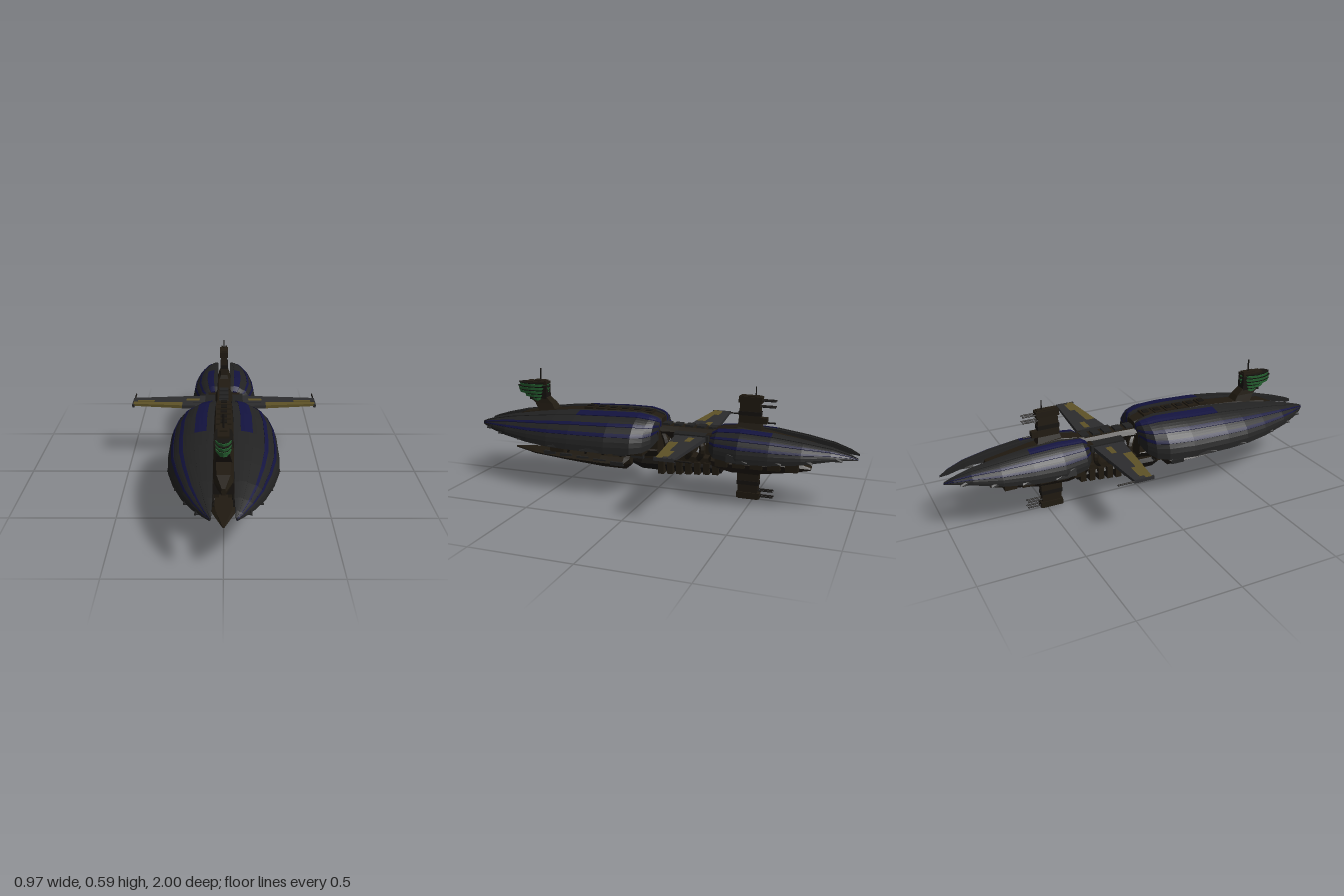
import * as THREE from 'three';

const C = { hull: 0x222222, navy: 0x13133f, brown: 0x201a11, dark: 0x161310, gold: 0x5e5227, green: 0x2a6a36, wing: 0x2c2c2e };
const mats = {};
for (const k in C) mats[k] = new THREE.MeshStandardMaterial({ color: C[k], flatShading: true });

export function createModel() {
  const ship = new THREE.Group();
  ship.name = 'starship';

  const add = (name, mat, geo) => {
    const m = new THREE.Mesh(geo, mats[mat]);
    m.name = name;
    ship.add(m);
    return m;
  };
  const box = (name, mat, x, y, z, w, h, d) => {
    const m = add(name, mat, new THREE.BoxGeometry(w, h, d));
    m.position.set(x, y, z);
  };
  const rod = (name, mat, a, b, r, sides = 8) => {
    const path = new THREE.LineCurve3(new THREE.Vector3(...a), new THREE.Vector3(...b));
    const m = add(name, mat, new THREE.CylinderGeometry(r, r, path.getLength(), sides));
    m.position.copy(path.getPoint(0.5));
    m.quaternion.setFromUnitVectors(new THREE.Vector3(0, 1, 0), path.getTangent(0));
  };
  const disc = (name, mat, y, z, w, h, d) => {
    const m = add(name, mat, new THREE.CylinderGeometry(0.5, 0.46, 1, 12));
    m.position.set(0, y, z);
    m.scale.set(w, h, d);
  };

  // Skin a row of closed cross-sections and cap both ends, facing outwards
  const loft = (name, mat, rings) => {
    const n = rings[0].length, last = (rings.length - 1) * n, idx = [];
    for (let i = 0; i < rings.length - 1; i++)
      for (let j = 0; j < n; j++) {
        const a = i * n + j, b = i * n + (j + 1) % n;
        idx.push(a, b, a + n, b, b + n, a + n);
      }
    for (let j = 1; j < n - 1; j++) idx.push(0, j + 1, j, last, last + j, last + j + 1);
    const p = rings.flat().map(v => new THREE.Vector3(...v));
    let volume = 0;
    for (let i = 0; i < idx.length; i += 3)
      volume += p[idx[i]].dot(p[idx[i + 1]].clone().cross(p[idx[i + 2]]));
    if (volume < 0) idx.reverse();
    const g = new THREE.BufferGeometry().setFromPoints(p);
    g.setIndex(idx);
    g.computeVertexNormals();
    add(name, mat, g);
  };

  // Symmetric body along z; station: z, half width, bottom, top, keel and roof width factors
  const body = (name, mat, stations) => loft(name, mat, stations.map(([z, w, y0, y1, k = 0.6, r = 0.7]) => {
    const ym = y0 + (y1 - y0) * 0.55;
    return [[w * k, y0, z], [w, ym, z], [w * r, y1, z], [-w * r, y1, z], [-w, ym, z], [-w * k, y0, z]];
  }));

  // Curved armour shell of lengthwise bands; station: z, inner x, outer x, top, edge.
  // The wide inner stripe stops at station mid, the thin ones run to the tip.
  const shell = (name, stations, mid, side) => {
    const cuts = [0, 0.1, 0.27, 0.46, 0.53, 0.67, 0.74, 1];
    const point = ([z, xi, xo, yt, ye], t, thick) => {
      const a = t * Math.PI / 2, w = Math.max(0.003, xo - xi - thick * 0.6 * t);
      return [side * (xi + w * Math.sin(a)), ye + Math.max(0.002, yt - ye - thick) * Math.pow(Math.cos(a), 0.85), z];
    };
    for (let b = 0; b < cuts.length - 1; b++) {
      const ts = [0, 1 / 3, 2 / 3, 1].map(u => cuts[b] + (cuts[b + 1] - cuts[b]) * u);
      const lift = b % 2 ? 0 : 0.004;
      const band = (mat, part) => loft(name, mat, part.map(s => [
        ...ts.map(t => point(s, t, lift)),
        ...ts.slice().reverse().map(t => point(s, t, 0.03))]));
      band(b % 2 ? 'navy' : 'hull', stations.slice(0, mid + 1));
      band(b === 3 || b === 5 ? 'navy' : 'hull', stations.slice(mid));
    }
  };

  const bow = [[-0.03, 0.035, 0.1, 0.375, 0.28], [-0.015, 0.04, 0.165, 0.392, 0.255], [0.015, 0.04, 0.208, 0.402, 0.24],
    [0.07, 0.04, 0.242, 0.412, 0.236], [0.2, 0.045, 0.262, 0.41, 0.235], [0.4, 0.045, 0.262, 0.4, 0.236],
    [0.52, 0.045, 0.253, 0.388, 0.238], [0.65, 0.045, 0.224, 0.37, 0.242], [0.8, 0.045, 0.178, 0.345, 0.254],
    [0.9, 0.045, 0.13, 0.32, 0.262], [0.97, 0.048, 0.085, 0.298, 0.268], [1, 0.05, 0.058, 0.285, 0.268]];
  const stern = [[-0.3, 0.035, 0.12, 0.34, 0.26], [-0.33, 0.035, 0.15, 0.36, 0.235], [-0.45, 0.035, 0.177, 0.37, 0.225],
    [-0.6, 0.035, 0.172, 0.362, 0.23], [-0.75, 0.035, 0.15, 0.342, 0.243], [-0.88, 0.035, 0.11, 0.318, 0.262],
    [-0.96, 0.035, 0.072, 0.292, 0.266], [-1, 0.035, 0.045, 0.272, 0.262]];

  for (const s of [1, -1]) {
    shell('bowShell', bow, 5, s);
    shell('sternShell', stern, 3, s);

    // Swept teeth along the shell rims
    for (const [z, x, y] of [[0.3, 0.257, 0.245], [0.48, 0.25, 0.248], [0.68, 0.206, 0.255], [0.82, 0.16, 0.262], [0.92, 0.11, 0.27],
      [-0.48, 0.17, 0.24], [-0.64, 0.16, 0.245], [-0.78, 0.135, 0.256], [-0.91, 0.092, 0.27]]) {
      const d = Math.sign(z);
      loft('rimTooth', 'hull', [
        [[s * (x - 0.02), y - 0.01, z - d * 0.08], [s * (x + 0.004), y - 0.01, z - d * 0.08], [s * (x - 0.005), y + 0.03, z - d * 0.08]],
        [[s * (x - 0.02), y - 0.005, z + d * 0.025], [s * (x + 0.007), y - 0.008, z + d * 0.025], [s * x, y, z + d * 0.025]]]);
    }

    // Machinery pods beneath the bow
    for (let i = 0; i < 6; i++) {
      box('bellyPod', 'brown', s * 0.14, 0.234, 0.06 + i * 0.1, 0.08 - i * 0.004, 0.036, 0.075);
      box('bellyVent', 'dark', s * 0.172, 0.24, 0.06 + i * 0.09, 0.02, 0.03, 0.03);
    }

    // Wing: chord strips from trailing to leading edge, with gold panels and tip cannon
    const strip = (name, mat, x0, x1, u0, u1, h) => loft(name, mat, [x0, x1].map(x => {
      const f = (x - 0.03) / 0.45, zb = -0.285 + 0.035 * f, zf = -0.115 - 0.045 * f;
      const y = 0.31 + 0.002 * f, t = h * (1 - 0.4 * f);
      const za = zb + (zf - zb) * u0, zc = zb + (zf - zb) * u1;
      return [[s * x, y - t, za], [s * x, y + t, za], [s * x, y + t, zc], [s * x, y - t, zc]];
    }));
    strip('wing', 'wing', 0.03, 0.48, 0, 0.65, 0.011);
    strip('wingLeadingEdge', 'wing', 0.03, 0.22, 0.65, 1, 0.01);
    strip('wingGoldEdge', 'gold', 0.22, 0.48, 0.65, 1, 0.01);
    strip('wingGoldPanel', 'gold', 0.37, 0.46, 0.42, 0.66, 0.0125);
    strip('wingGoldPanel', 'gold', 0.13, 0.2, 0.3, 0.5, 0.0125);
    strip('wingRoot', 'hull', 0.03, 0.1, -0.08, 1.05, 0.018);
    box('wingTip', 'wing', s * 0.479, 0.31, -0.2, 0.012, 0.016, 0.1);
    rod('wingCannon', 'dark', [s * 0.481, 0.31, -0.15], [s * 0.481, 0.31, -0.33], 0.004);

    // Curved ribs of the open waist
    for (let i = 0; i < 5; i++) {
      const z = -0.04 - i * 0.062;
      const path = new THREE.QuadraticBezierCurve3(new THREE.Vector3(s * 0.035, 0.3, z),
        new THREE.Vector3(s * 0.075, 0.245, z - 0.05), new THREE.Vector3(s * 0.035, 0.19, z));
      add('waistRib', 'brown', new THREE.TubeGeometry(path, 8, 0.016, 6));
    }

    // Twin bow guns and keel side fins
    for (const y of [0.185, 0.205]) rod('bowGun', 'dark', [s * 0.045, y, 0.5], [s * 0.045, y, 0.725], 0.005);
    box('gunMount', 'brown', s * 0.045, 0.195, 0.55, 0.05, 0.08, 0.08);
    for (let i = 0; i < 5; i++) {
      const z = 0.2 + i * 0.1;
      rod('keelStrut', 'dark', [s * 0.04, 0.14, z], [s * 0.06, 0.2, z - 0.02], 0.007, 6);
      box('keelPlate', 'hull', s * (0.08 - i * 0.007), 0.13 + i * 0.003, z, 0.016, 0.02, 0.07);
      box('lowerHullPod', 'hull', s * (0.095 - i * 0.004), 0.195, z - 0.12, 0.02, 0.03, 0.07);
    }
    // Stern side machinery
    for (let i = 0; i < 5; i++) box('sternPod', 'brown', s * (0.09 - i * 0.006), 0.205, -0.36 - i * 0.085, 0.04, 0.045, 0.06);
  }

  // Inner hull bodies, lower bow hull and dorsal ridge
  body('bowInnerHull', 'dark', [[-0.01, 0.13, 0.23, 0.33], [0.1, 0.21, 0.228, 0.35], [0.4, 0.21, 0.23, 0.35], [0.6, 0.16, 0.24, 0.33], [0.76, 0.07, 0.26, 0.31]]);
  body('bowLowerHull', 'brown', [[-0.02, 0.08, 0.185, 0.25], [0.15, 0.1, 0.172, 0.25], [0.45, 0.09, 0.172, 0.25], [0.56, 0.07, 0.19, 0.25], [0.64, 0.04, 0.225, 0.26]]);
  body('bowDorsalRidge', 'brown', [[-0.03, 0.045, 0.3, 0.38], [0.05, 0.055, 0.3, 0.403], [0.35, 0.055, 0.3, 0.398], [0.6, 0.05, 0.29, 0.376], [0.76, 0.042, 0.28, 0.35], [0.83, 0.01, 0.29, 0.32]]);
  for (let i = 0; i < 6; i++) {
    box('dorsalBlock', 'brown', 0, 0.394, 0.05 + i * 0.065, 0.07, 0.026, 0.048);
    box('dorsalHatch', 'dark', 0, 0.4, 0.05 + i * 0.065, 0.03, 0.024, 0.03);
  }
  body('sternInnerHull', 'dark', [[-0.3, 0.09, 0.21, 0.32], [-0.4, 0.13, 0.2, 0.32], [-0.6, 0.12, 0.21, 0.31], [-0.78, 0.03, 0.24, 0.29]]);
  body('sternRidge', 'brown', [[-0.3, 0.045, 0.3, 0.35], [-0.42, 0.045, 0.28, 0.37], [-0.56, 0.04, 0.28, 0.355], [-0.79, 0.03, 0.27, 0.315]]);
  body('sternBelly', 'brown', [[-0.3, 0.08, 0.16, 0.23], [-0.4, 0.1, 0.145, 0.24], [-0.55, 0.09, 0.15, 0.24], [-0.68, 0.06, 0.165, 0.23], [-0.78, 0.025, 0.18, 0.195]]);

  // Open waist: upper spine, collar and lower rail
  body('waistSpine', 'brown', [[0.02, 0.06, 0.285, 0.345], [-0.12, 0.05, 0.29, 0.345], [-0.34, 0.05, 0.285, 0.345]]);
  box('waistCollar', 'brown', 0, 0.28, 0, 0.2, 0.09, 0.06);
  box('sternCollar', 'brown', 0, 0.28, -0.3, 0.17, 0.1, 0.05);
  box('waistRail', 'brown', 0, 0.182, -0.1, 0.09, 0.03, 0.5);
  for (let i = 0; i < 5; i++) box('spineBlock', 'hull', 0, 0.345, -0.05 - i * 0.06, 0.05, 0.02, 0.04);

  // Keels, the rear one slatted
  body('bowKeel', 'brown', [[0.83, 0.006, 0.138, 0.146], [0.7, 0.05, 0.122, 0.148], [0.5, 0.075, 0.102, 0.152, 0.3], [0.3, 0.088, 0.09, 0.158, 0.3], [0.17, 0.088, 0.09, 0.16, 0.3], [0.14, 0.06, 0.12, 0.18, 0.4]]);
  body('waistKeel', 'dark', [[0.15, 0.006, 0.125, 0.14], [0.08, 0.04, 0.105, 0.16], [-0.04, 0.045, 0.105, 0.172], [-0.34, 0.04, 0.12, 0.172]]);
  for (let i = 0; i < 7; i++) box('keelSlat', 'brown', 0, 0.135 + i * 0.002, -0.035 - i * 0.047, 0.13 - i * 0.004, 0.075 - i * 0.003, 0.03);

  // Command tower with layered green head
  loft('towerNeck', 'brown', [[0.36, 0.61, 0.038], [0.405, 0.64, 0.028], [0.45, 0.69, 0.022]].map(([y, z, w]) =>
    [[w, y, z - 0.05], [w, y, z + 0.05], [-w, y, z + 0.05], [-w, y, z - 0.05]]));
  const layers = [[0.422, 0.06, 0.1, 0.68], [0.441, 0.07, 0.14, 0.695], [0.46, 0.078, 0.18, 0.71], [0.479, 0.08, 0.19, 0.71], [0.498, 0.08, 0.18, 0.708]];
  for (const [y, w, d, z] of layers) {
    disc('towerDeck', 'green', y, z, w, 0.014, d);
    disc('towerDeckRim', 'dark', y + 0.009, z, w + 0.003, 0.005, d + 0.004);
  }
  box('towerCore', 'dark', 0, 0.46, 0.675, 0.05, 0.08, 0.1);
  box('towerRoof', 'brown', 0, 0.51, 0.685, 0.05, 0.016, 0.12);
  box('towerRoofCap', 'brown', 0, 0.518, 0.665, 0.034, 0.014, 0.07);
  rod('towerAntenna', 'dark', [0, 0.51, 0.667], [0, 0.587, 0.667], 0.004);

  // Upper and lower stern pylons, each ending in a twin-gun turret
  const pylon = (y0, y1) => {
    const d = Math.sign(y1 - y0), end = y1 - d * 0.02;
    loft('pylon', 'brown', [[y0, 0.03, 0.065], [y0 + d * 0.04, 0.018, 0.055], [end, 0.016, 0.048]].map(([y, w, l]) =>
      [[w, y, -0.475 - l], [w, y, -0.475 + l], [-w, y, -0.475 + l], [-w, y, -0.475 - l]]));
    box('pylonTurret', 'brown', 0, end, -0.477, 0.044, 0.03, 0.115);
    box('pylonTurretCap', 'brown', 0, end + d * 0.015, -0.477, 0.03, 0.01, 0.1);
    box('pylonBand', 'dark', 0, (y0 + y1) / 2, -0.475, 0.042, 0.02, 0.11);
    for (const off of [0, 0.03])
      for (const x of [-0.012, 0.012])
        rod('pylonGun', 'dark', [x, end - d * off, -0.5], [x, end - d * off, -0.6], 0.004);
  };
  pylon(0.35, 0.525);
  pylon(0.17, 0);
  box('pylonLowGunMount', 'brown', 0, 0.405, -0.54, 0.03, 0.03, 0.04);
  rod('pylonLowGun', 'dark', [0, 0.395, -0.53], [0, 0.395, -0.6], 0.004);
  rod('pylonAntenna', 'dark', [0, 0.52, -0.5], [0, 0.57, -0.5], 0.003);

  return ship;
}
